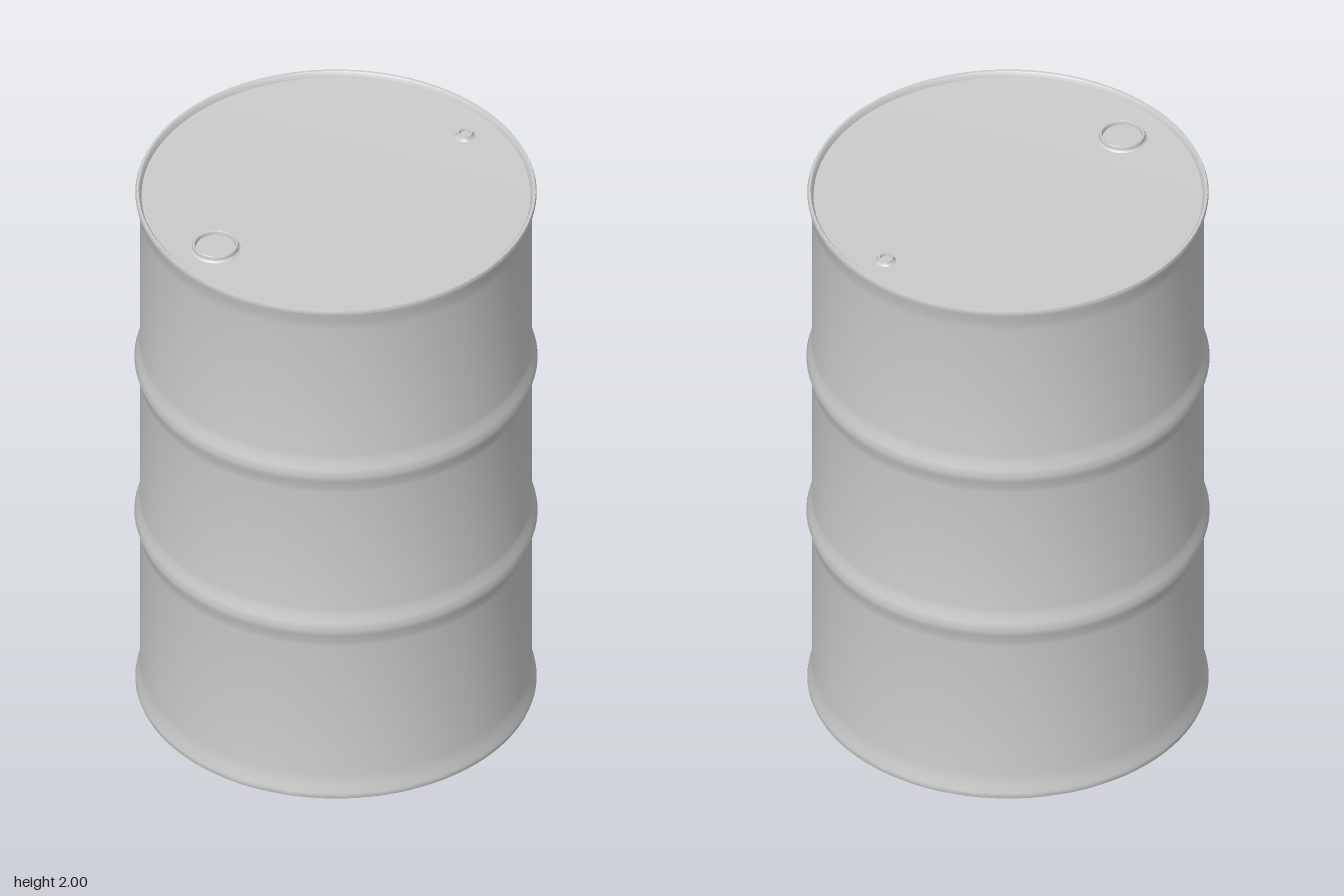
import * as THREE from 'three';
import { toCreasedNormals } from 'three/addons/utils/BufferGeometryUtils.js';

const material = new THREE.MeshStandardMaterial({ color: 0xcccccc });

// Turned part from [radius, height] pairs, with sharp edges kept
function turned(name, profile, segments, x = 0, y = 0, z = 0) {
  const points = profile.map(([r, h]) => new THREE.Vector2(r, h));
  const geometry = toCreasedNormals(new THREE.LatheGeometry(points, segments), 0.6);
  const mesh = new THREE.Mesh(geometry, material);
  mesh.name = name;
  mesh.position.set(x, y, z);
  return mesh;
}

// Rolled hoop swelling out of the wall around height y
function hoop(y) {
  return [
    [0.64, y - 0.075], [0.643, y - 0.055], [0.652, y - 0.025], [0.659, y],
    [0.652, y + 0.025], [0.643, y + 0.055], [0.64, y + 0.075],
  ];
}

export function createModel() {
  const drum = new THREE.Group();
  drum.name = 'drum';
  const lidY = 1.98;

  // Wall with flared chimes at both ends and two hoops
  drum.add(turned('wall', [
    [0.64, 0.012], [0.645, 0], [0.653, 0], [0.656, 0.008], [0.654, 0.02], [0.645, 0.05], [0.64, 0.09],
    ...hoop(0.69), ...hoop(1.32),
    [0.64, 1.91], [0.645, 1.95], [0.654, 1.98], [0.656, 1.992], [0.653, 2], [0.645, 2],
    [0.64, 1.994], [0.636, lidY],
  ], 96));

  // Recessed lid and base
  drum.add(turned('lid', [[0.636, lidY], [0.6, lidY - 0.002], [0, lidY]], 96));
  drum.add(turned('base', [[0, 0.012], [0.64, 0.012]], 96));

  // Large filler bung: raised collar around a sunken plug
  drum.add(turned('fillerBung', [
    [0.084, -0.003], [0.076, 0.004], [0.074, 0.016], [0.071, 0.018], [0.067, 0.016], [0.065, 0.003], [0, 0.003],
  ], 32, -0.035, lidY, 0.485));

  // Small vent bung
  drum.add(turned('ventBung', [
    [0.036, -0.003], [0.028, 0.004], [0.025, 0.014], [0.02, 0.014], [0.018, 0.003], [0, 0.003],
  ], 20, 0.025, lidY, -0.53));

  return drum;
}
